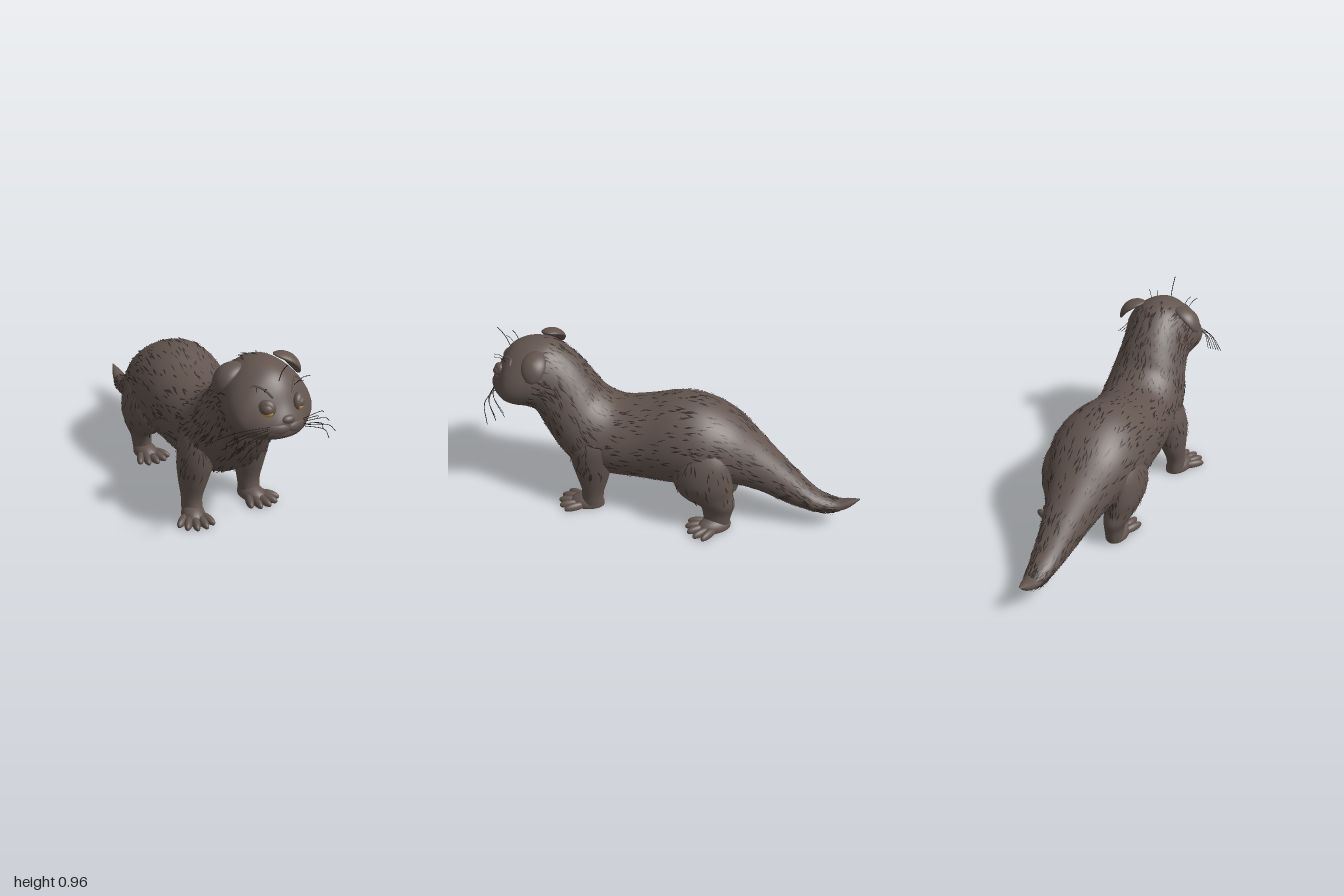
import * as THREE from 'three';
import { mergeGeometries } from 'three/addons/utils/BufferGeometryUtils.js';

const V = (x, y, z) => new THREE.Vector3(x, y, z);
const mat = (name, color, side = THREE.FrontSide) => {
  const m = new THREE.MeshStandardMaterial({ color, side });
  m.name = name;
  return m;
};

// Smooth skin through rings given as [z1, y1, z2, y2, halfWidth, centreX, pear]
function skin(rings) {
  const curve = f => new THREE.CatmullRomCurve3(rings.map(f), false, 'catmullrom', 0.5);
  const top = curve(r => V(r[5], r[1], r[0]));
  const bottom = curve(r => V(r[5], r[3], r[2]));
  const width = curve(r => V(r[4], r[6] || 0, 0));
  return (t, a) => {
    const p = top.getPoint(t), q = bottom.getPoint(t), w = width.getPoint(t);
    const c = p.clone().add(q).multiplyScalar(0.5);
    c.addScaledVector(p.sub(q), 0.5 * Math.cos(a));
    c.x += w.x * Math.sin(a) * (1 - w.y * Math.cos(a));
    return c;
  };
}

function skinGeometry(surface, nt, na) {
  const pos = [], index = [];
  for (let i = 0; i <= nt; i++) {
    for (let j = 0; j < na; j++) {
      pos.push(...surface(i / nt, j / na * Math.PI * 2).toArray());
      if (i === nt) continue;
      const a = i * na + j, b = i * na + (j + 1) % na;
      index.push(a, a + na, b, b, a + na, b + na);
    }
  }
  const g = new THREE.BufferGeometry();
  g.setAttribute('position', new THREE.Float32BufferAttribute(pos, 3));
  g.setIndex(index);
  g.computeVertexNormals();
  return g;
}

const ball = (rx, ry, rz) => new THREE.SphereGeometry(1, 24, 16).scale(rx, ry, rz);

// Ellipsoid flattened where it meets the ground
function padGeometry(rx, ry, rz, x, y, z, yaw = 0) {
  const g = ball(rx, ry, rz).rotateY(yaw).translate(x, y, z);
  const p = g.attributes.position;
  for (let i = 0; i < p.count; i++) p.setY(i, Math.max(0, p.getY(i)));
  g.computeVertexNormals();
  return g;
}

export function createModel() {
  const group = new THREE.Group();
  const fur = mat('brown fur', 0x63554f);
  const tuftMat = mat('dark fur tufts', 0x352c29, THREE.DoubleSide);
  const dark = mat('whisker black', 0x1c1918);
  const gold = mat('gold eye', 0xc89c4a);
  const add = (name, geo, m) => {
    const mesh = new THREE.Mesh(geo, m);
    mesh.name = name;
    group.add(mesh);
    return mesh;
  };

  // Fur tufts lying on a skin; dir is the way along it in which they point
  let seed = 7;
  const rnd = () => (seed = (seed * 16807) % 2147483647) / 2147483647;
  const addTufts = (name, surface, count, t0, t1, dir) => {
    const pos = [];
    for (let i = 0; i < count; i++) {
      const t = t0 + (t1 - t0) * rnd(), a = rnd() * Math.PI * 2;
      const base = surface(t, a);
      const along = surface(t + dir * 0.004, a).sub(base).normalize();
      const around = surface(t, a + 0.02).sub(base).normalize();
      const out = around.clone().cross(along).multiplyScalar(-dir).normalize();
      along.addScaledVector(around, (rnd() - 0.5) * 0.6).normalize();
      const len = 0.03 + 0.045 * rnd(), w = 0.0025 + 0.003 * rnd();
      const mid = base.clone().addScaledVector(along, len * 0.5).addScaledVector(out, 0.003);
      const l = mid.clone().addScaledVector(around, -w), r = mid.clone().addScaledVector(around, w);
      const tip = base.clone().addScaledVector(along, len).addScaledVector(out, 0.003);
      for (const q of [base, r, l, l, r, tip]) pos.push(q.x, q.y, q.z);
    }
    const g = new THREE.BufferGeometry();
    g.setAttribute('position', new THREE.Float32BufferAttribute(pos, 3));
    g.computeVertexNormals();
    add(name, g, tuftMat);
  };

  // Tail, trunk, neck and head in one skin
  const bodySurface = skin([
    [-1, 0.198, -0.998, 0.19, 0.004, 0.065],
    [-0.95, 0.188, -0.94, 0.132, 0.028, 0.063],
    [-0.87, 0.172, -0.86, 0.1, 0.05, 0.06],
    [-0.76, 0.215, -0.77, 0.09, 0.072, 0.055],
    [-0.61, 0.345, -0.63, 0.115, 0.1, 0.04],
    [-0.46, 0.48, -0.47, 0.175, 0.145, 0.025],
    [-0.32, 0.6, -0.32, 0.21, 0.205, 0.02],
    [-0.17, 0.67, -0.17, 0.19, 0.25, 0.02, 0.08],
    [-0.02, 0.677, -0.02, 0.175, 0.245, 0.012, 0.05],
    [0.14, 0.63, 0.16, 0.165, 0.228, 0],
    [0.29, 0.604, 0.36, 0.172, 0.225, 0],
    [0.39, 0.65, 0.52, 0.22, 0.228, 0, 0.08],
    [0.45, 0.73, 0.63, 0.33, 0.21, 0, 0.1],
    [0.51, 0.805, 0.7, 0.44, 0.19, 0, 0.08],
    [0.58, 0.868, 0.74, 0.52, 0.186, 0, 0.12],
    [0.66, 0.912, 0.78, 0.545, 0.2, 0, 0.18],
    [0.76, 0.917, 0.83, 0.555, 0.209, 0, 0.24],
    [0.845, 0.888, 0.88, 0.567, 0.192, 0, 0.3],
    [0.9, 0.835, 0.92, 0.582, 0.147, 0, 0.36],
    [0.94, 0.76, 0.955, 0.6, 0.1, 0, 0.36],
    [0.972, 0.705, 0.975, 0.622, 0.062, 0, 0.15],
    [0.98, 0.668, 0.98, 0.66, 0.006, 0],
  ]);
  const body = add('body', skinGeometry(bodySurface, 126, 44), fur);
  addTufts('bodyTufts', bodySurface, 1600, 0.1, 0.74, -1);

  // Find the front of the face at a given x and y
  const ray = new THREE.Raycaster();
  body.updateMatrixWorld();
  const onFace = (x, y, lift = 0) => {
    ray.set(V(x, y, 2), V(0, 0, -1));
    const hit = ray.intersectObject(body)[0];
    return V(x, y, (hit ? hit.point.z : 0.85) + lift);
  };
  const tube = (points, r) => new THREE.TubeGeometry(new THREE.CatmullRomCurve3(points), 12, r, 5);

  // Legs, each running down from inside the body
  const legs = {
    frontRightLeg: [[0.46, 0.54, 0.36, 0.54, 0.03, -0.13], [0.55, 0.42, 0.3, 0.42, 0.085, -0.15],
      [0.56, 0.31, 0.32, 0.3, 0.088, -0.178], [0.54, 0.2, 0.345, 0.19, 0.07, -0.195],
      [0.515, 0.1, 0.388, 0.09, 0.052, -0.207], [0.53, 0.025, 0.395, 0.015, 0.05, -0.21]],
    frontLeftLeg: [[0.44, 0.54, 0.34, 0.54, 0.03, 0.13], [0.53, 0.42, 0.29, 0.42, 0.085, 0.148],
      [0.535, 0.31, 0.31, 0.3, 0.088, 0.152], [0.51, 0.2, 0.335, 0.19, 0.076, 0.146],
      [0.485, 0.1, 0.365, 0.09, 0.06, 0.145], [0.495, 0.025, 0.37, 0.015, 0.053, 0.146]],
    hindRightLeg: [[-0.12, 0.54, -0.22, 0.54, 0.02, -0.15], [-0.04, 0.42, -0.3, 0.42, 0.075, -0.165],
      [-0.015, 0.3, -0.335, 0.3, 0.093, -0.163], [-0.06, 0.2, -0.345, 0.21, 0.083, -0.148],
      [-0.155, 0.145, -0.358, 0.15, 0.065, -0.135], [-0.182, 0.09, -0.343, 0.09, 0.05, -0.125],
      [-0.18, 0.025, -0.32, 0.015, 0.047, -0.122]],
    hindLeftLeg: [[-0.13, 0.54, -0.23, 0.54, 0.02, 0.19], [-0.05, 0.42, -0.32, 0.42, 0.08, 0.202],
      [-0.03, 0.3, -0.345, 0.3, 0.1, 0.203], [-0.07, 0.2, -0.35, 0.21, 0.086, 0.196],
      [-0.165, 0.145, -0.36, 0.15, 0.066, 0.194], [-0.19, 0.09, -0.345, 0.09, 0.05, 0.193],
      [-0.195, 0.025, -0.33, 0.015, 0.047, 0.193]],
  };
  for (const [name, rings] of Object.entries(legs)) {
    const surface = skin(rings);
    add(name, skinGeometry(surface, 30, 24), fur);
    addTufts(name + 'Tufts', surface, 90, 0.1, 0.5, 1);
  }

  // Paws with five fanned toes
  const paw = (name, x, z, yaw) => {
    const parts = [padGeometry(0.06, 0.055, 0.095, 0, 0.01, 0.03)];
    for (let i = -2; i <= 2; i++) {
      const f = i * 0.25, reach = 0.125 - 0.006 * i * i;
      parts.push(padGeometry(0.021, 0.026, 0.062, Math.sin(f) * reach + i * 0.006, 0.012, Math.cos(f) * reach, f));
    }
    const mesh = add(name, mergeGeometries(parts), fur);
    mesh.position.set(x, 0, z);
    mesh.rotation.y = yaw;
  };
  paw('frontRightPaw', -0.208, 0.46, -0.36);
  paw('frontLeftPaw', 0.142, 0.43, 0.12);
  paw('hindRightPaw', -0.122, -0.245, 0);
  paw('hindLeftPaw', 0.193, -0.28, 0.6);

  // Paired features of the head
  for (const s of [-1, 1]) {
    const side = s < 0 ? 'right' : 'left';

    // Drooping ear flap, bent over its length
    const earGeo = ball(0.09, 0.022, 0.064);
    const p = earGeo.attributes.position;
    for (let i = 0; i < p.count; i++) p.setY(i, p.getY(i) - 4 * p.getX(i) ** 2 - 3 * p.getZ(i) ** 2);
    earGeo.computeVertexNormals();
    const ear = add(side + 'Ear', earGeo, fur);
    ear.position.set(s * 0.183, 0.862, 0.7);
    ear.rotation.z = -s * 0.72;

    // Lidded eye with a thin gold crescent showing below
    const eye = new THREE.Group();
    eye.name = side + 'Eye';
    eye.position.copy(onFace(s * 0.085, 0.75, -0.006));
    eye.rotation.y = s * 0.75;
    const eyelid = new THREE.Mesh(ball(0.042, 0.044, 0.026), fur);
    eyelid.name = 'eyelid';
    const iris = new THREE.Mesh(ball(0.032, 0.026, 0.026).translate(-s * 0.004, -0.012, 0.003), gold);
    iris.name = 'iris';
    const upperLid = new THREE.Mesh(ball(0.033, 0.03, 0.028).translate(-s * 0.002, 0, 0.005), fur);
    upperLid.name = 'upperLid';
    eye.add(eyelid, iris, upperLid);
    group.add(eye);

    // Brow and muzzle
    const browPoints = [[0.05, 0.795], [0.08, 0.83], [0.115, 0.84], [0.14, 0.82]];
    add(side + 'Brow', tube(browPoints.map(([x, y]) => onFace(s * x, y)), 0.007), fur);
    add(side + 'MuzzlePad', ball(0.075, 0.042, 0.045).rotateY(s * 0.5).translate(s * 0.052, 0.658, 0.932), fur);

    // Cheek whiskers sweeping out, back and down
    const hairs = [];
    for (let i = 0; i < 6; i++) {
      const root = onFace(s * (0.09 + 0.004 * (i % 3)), 0.675 - i * 0.008);
      const end = V(s * (0.3 - 0.018 * ((i * 3) % 6)), 0.605 - i * 0.014, 0.83 + 0.025 * i);
      const mid = root.clone().lerp(end, 0.55).add(V(s * 0.015, 0.026, 0.025));
      hairs.push(tube([root, mid, end], 0.0016));
    }
    // Short hairs above the eye
    for (let i = 0; i < 2; i++) {
      const root = onFace(s * (0.08 + 0.03 * i), 0.82);
      const end = root.clone().add(V(s * (0.02 + 0.015 * i), 0.035 + 0.01 * i, 0.05));
      hairs.push(tube([root, root.clone().lerp(end, 0.5).add(V(0, 0.01, 0)), end], 0.0015));
    }
    add(side + 'Whiskers', mergeGeometries(hairs), dark);
  }

  // Forehead hair, nose and mouth
  add('foreheadHair', tube([V(0, 0.85, 0.88), V(0, 0.91, 0.905), V(0, 0.96, 0.945)], 0.002), dark);
  add('nose', ball(0.034, 0.02, 0.022).translate(0, 0.7, 0.967), fur);
  const mouth = [-0.1, -0.05, 0, 0.05, 0.1].map(x => onFace(x, 0.614 + 1.6 * x * x, 0.001));
  add('mouth', tube(mouth, 0.003), tuftMat);

  return group;
}
